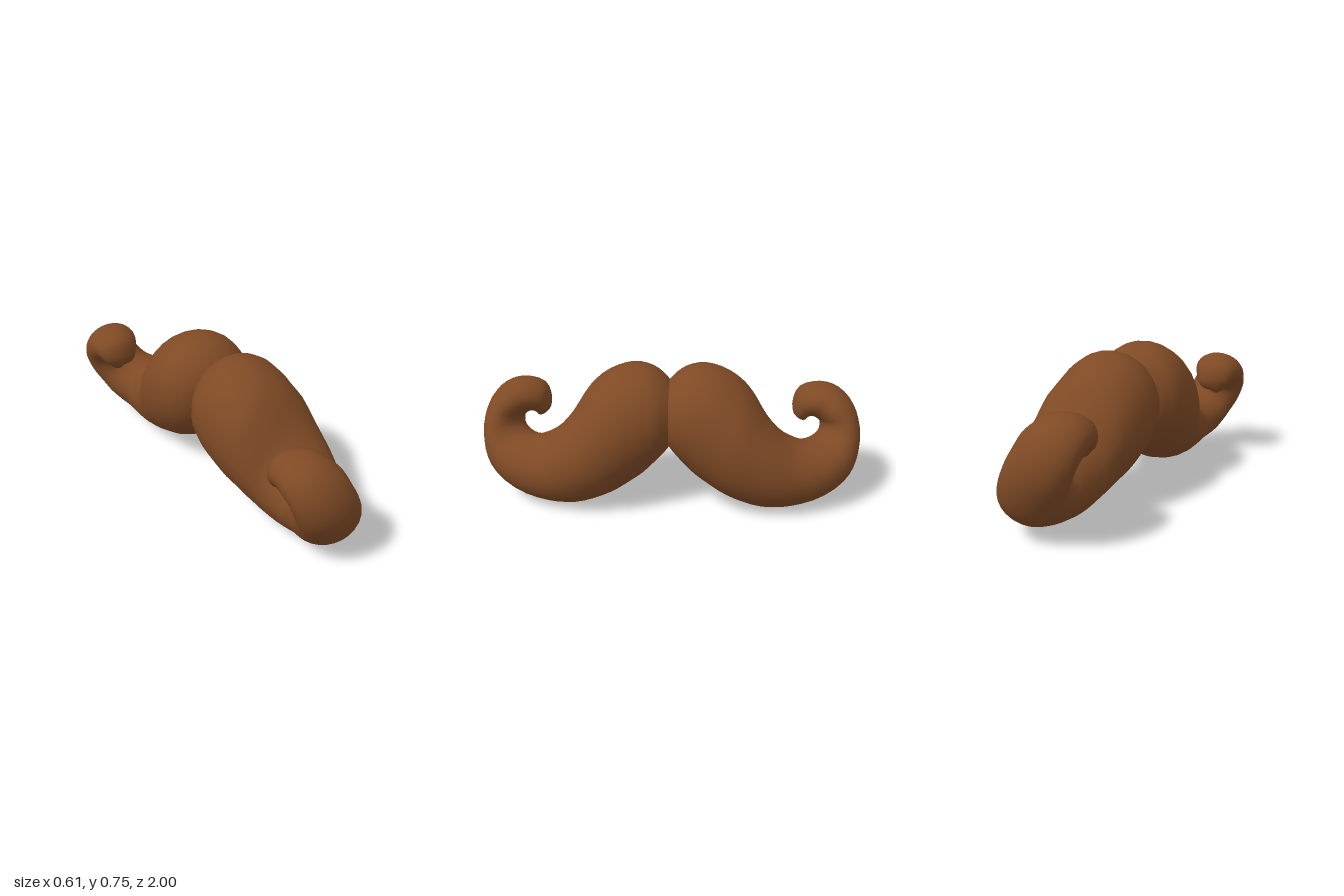
import * as THREE from 'three';
import { mergeVertices } from 'three/addons/utils/BufferGeometryUtils.js';

// Cross-sections of one half: inner edge x,y,z, outer edge x,y,z, half depth
const SECTIONS = [
  [-0.02, 0.51, -0.05, -0.02, 0.51, -0.05, 0],
  [-0.02, 0.62, -0.03, -0.02, 0.40, -0.03, 0.12],
  [-0.02, 0.68, 0.01, -0.01, 0.31, 0.01, 0.19],
  [-0.02, 0.735, 0.08, 0.00, 0.235, 0.075, 0.245],
  [-0.02, 0.757, 0.18, 0.01, 0.17, 0.14, 0.265],
  [-0.01, 0.72, 0.30, 0.03, 0.10, 0.25, 0.275],
  [0.02, 0.64, 0.40, 0.05, 0.05, 0.36, 0.27],
  [0.05, 0.50, 0.50, 0.05, 0.012, 0.49, 0.24],
  [0.04, 0.40, 0.60, 0.04, 0.01, 0.62, 0.21],
  [0.02, 0.36, 0.69, 0.01, 0.05, 0.79, 0.18],
  [-0.03, 0.355, 0.76, -0.05, 0.13, 0.92, 0.165],
  [-0.08, 0.375, 0.80, -0.09, 0.25, 0.98, 0.155],
  [-0.12, 0.40, 0.80, -0.13, 0.38, 1.00, 0.15],
  [-0.14, 0.41, 0.79, -0.16, 0.50, 0.965, 0.15],
  [-0.16, 0.42, 0.77, -0.18, 0.58, 0.89, 0.14],
  [-0.17, 0.425, 0.755, -0.185, 0.607, 0.79, 0.13],
  [-0.18, 0.42, 0.745, -0.19, 0.57, 0.68, 0.11],
  [-0.18, 0.41, 0.735, -0.19, 0.48, 0.65, 0.085],
  [-0.18, 0.395, 0.725, -0.19, 0.425, 0.665, 0.05],
  [-0.18, 0.395, 0.70, -0.18, 0.395, 0.70, 0],
];
const RINGS = (SECTIONS.length - 1) * 3;
const SIDES = 28;

// Sweeps the changing oval along the half; side = 1 or -1 mirrors it across z
function halfGeometry(side) {
  const inner = new THREE.CatmullRomCurve3(SECTIONS.map(s => new THREE.Vector3(s[0], s[1], s[2])));
  const outer = new THREE.CatmullRomCurve3(SECTIONS.map(s => new THREE.Vector3(s[3], s[4], s[5])));
  const depthAt = t => {
    const f = t * (SECTIONS.length - 1);
    const i = Math.min(Math.floor(f), SECTIONS.length - 2);
    return THREE.MathUtils.lerp(SECTIONS[i][6], SECTIONS[i + 1][6], f - i);
  };
  const centreAt = t => inner.getPoint(t).add(outer.getPoint(t)).multiplyScalar(0.5);

  const positions = [];
  const index = [];
  for (let i = 0; i <= RINGS; i++) {
    const t = i / RINGS;
    const centre = centreAt(t);
    const across = inner.getPoint(t).sub(outer.getPoint(t)).multiplyScalar(0.5);
    const tangent = centreAt(Math.min(1, t + 0.02)).sub(centreAt(Math.max(0, t - 0.02)));
    const depth = across.clone().cross(tangent).normalize().multiplyScalar(depthAt(t));
    for (let j = 0; j < SIDES; j++) {
      const angle = (j / SIDES) * Math.PI * 2;
      const p = centre.clone()
        .addScaledVector(across, Math.cos(angle))
        .addScaledVector(depth, Math.sin(angle));
      positions.push(p.x, p.y, p.z * side);
      if (i === RINGS) continue;
      const a = i * SIDES + j;
      const b = i * SIDES + (j + 1) % SIDES;
      const c = a + SIDES;
      const d = b + SIDES;
      if (side > 0) index.push(a, c, b, b, c, d);
      else index.push(a, b, c, b, d, c);
    }
  }
  let geometry = new THREE.BufferGeometry();
  geometry.setAttribute('position', new THREE.Float32BufferAttribute(positions, 3));
  geometry.setIndex(index);
  geometry = mergeVertices(geometry, 1e-5);
  geometry.computeVertexNormals();
  return geometry;
}

export function createModel() {
  const group = new THREE.Group();
  group.name = 'moustache';
  const brown = new THREE.MeshStandardMaterial({ color: 0x7f4a25 });
  brown.name = 'brown hair';

  // Two mirrored curls meeting in the middle
  for (const [name, side] of [['frontCurl', 1], ['backCurl', -1]]) {
    const curl = new THREE.Mesh(halfGeometry(side), brown);
    curl.name = name;
    group.add(curl);
  }
  return group;
}
